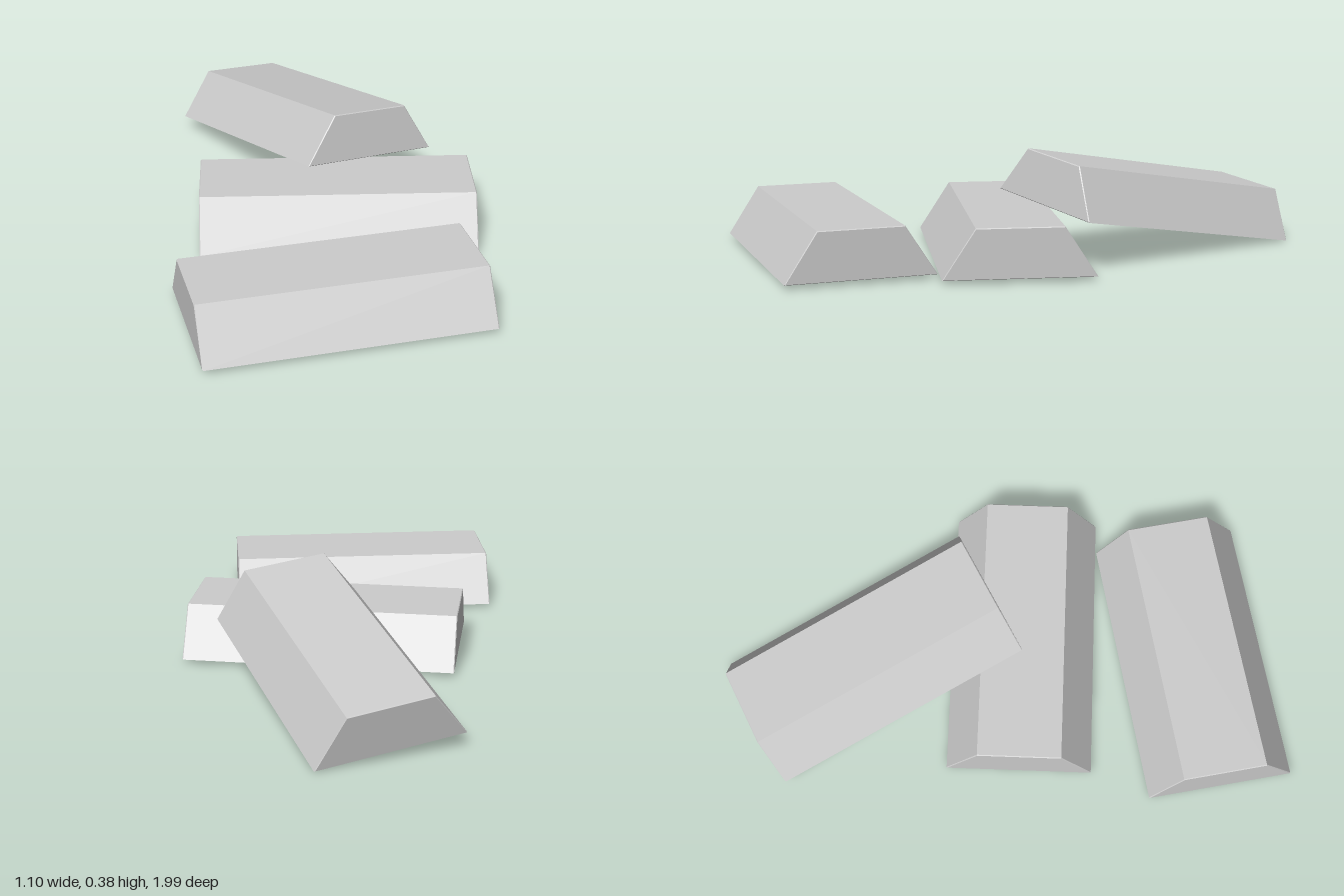
import * as THREE from 'three';

const LENGTH = 0.957, BASE = 0.513, TOP = 0.293, HEIGHT = 0.17, BEVEL = 0.003;

// Trapezoid prism with finely bevelled ends; length along z, base on y = 0
function barGeometry() {
  const section = new THREE.Shape([
    new THREE.Vector2(-BASE / 2, 0),
    new THREE.Vector2(BASE / 2, 0),
    new THREE.Vector2(TOP / 2, HEIGHT),
    new THREE.Vector2(-TOP / 2, HEIGHT),
  ]);
  const geometry = new THREE.ExtrudeGeometry(section, {
    depth: LENGTH - 2 * BEVEL,
    bevelEnabled: true,
    bevelThickness: BEVEL,
    bevelSize: BEVEL,
    bevelOffset: -BEVEL,
    bevelSegments: 1,
  });
  return geometry.translate(0, 0, BEVEL - LENGTH / 2);
}

export function createModel() {
  const group = new THREE.Group();
  group.name = 'ingotPile';
  const geometry = barGeometry();
  const material = new THREE.MeshStandardMaterial({ color: 0xcccccc });

  // Two bars lie flat, the third leans on the middle one
  const bars = [
    { name: 'frontIngot', position: [-0.047, 0.02, 0.68], pitch: 0, yaw: Math.PI / 2 + 0.126, roll: 0 },
    { name: 'middleIngot', position: [0.049, 0.02, 0.073], pitch: 0, yaw: Math.PI / 2 - 0.09, roll: 0 },
    { name: 'leaningIngot', position: [-0.007, 0.115, -0.467], pitch: -0.18, yaw: 0.426, roll: -0.098 },
  ];
  for (const { name, position, pitch, yaw, roll } of bars) {
    const bar = new THREE.Mesh(geometry, material);
    bar.name = name;
    bar.position.set(...position);
    bar.rotation.set(pitch, yaw, roll, 'YXZ');
    group.add(bar);
  }
  return group;
}
